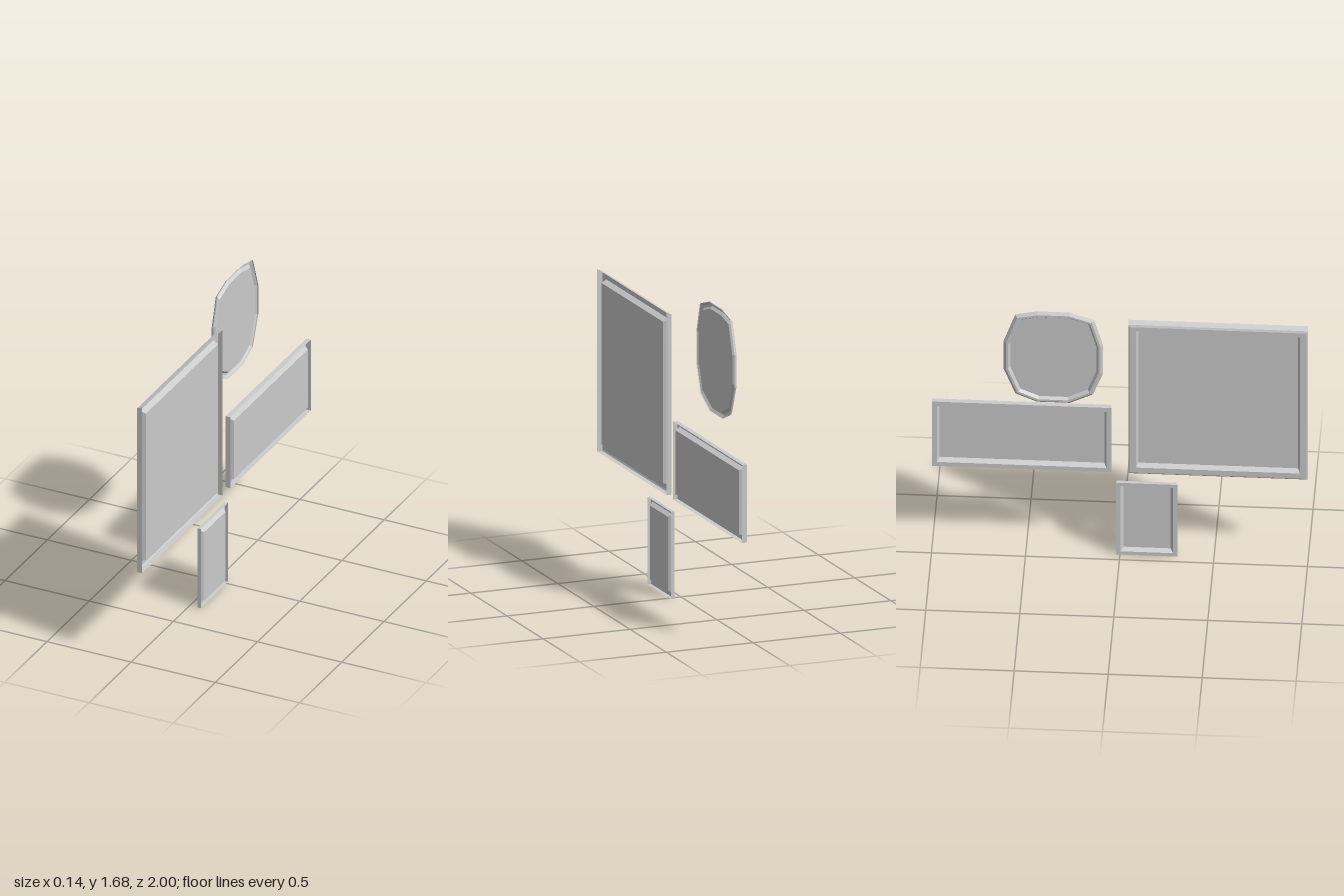
import * as THREE from 'three';

const material = new THREE.MeshStandardMaterial({
  color: 0xcccccc, flatShading: true, side: THREE.DoubleSide,
});

function makeMesh(name, triangles) {
  const geometry = new THREE.BufferGeometry();
  geometry.setAttribute('position', new THREE.Float32BufferAttribute(triangles.flat(), 3));
  geometry.computeVertexNormals();
  const mesh = new THREE.Mesh(geometry, material);
  mesh.name = name;
  return mesh;
}

// Outlines return counterclockwise [z, y] corners for a given inset.
const rectangle = (z0, z1, y0, y1) => (inset, topInset = inset) => [
  [z0 + inset, y0 + inset], [z1 - inset, y0 + inset],
  [z1 - inset, y1 - topInset], [z0 + inset, y1 - topInset],
];

const roundedOutline = (points, cz, cy, rz, ry) => (inset) => points.map(([z, y]) => [
  cz + (z - cz) * (1 - inset / rz), cy + (y - cy) * (1 - inset / ry),
]);

// A moulding lofted through rings [x, inset, topInset], from the open back,
// over the front lip and down into the recess, closed by the picture.
function pictureFrame(name, outline, rings) {
  const group = new THREE.Group();
  group.name = name;
  const loops = rings.map(([x, inset, top]) => outline(inset, top).map(([z, y]) => [x, y, z]));
  const walls = [];
  for (let i = 0; i < loops.length - 1; i++) {
    const p = loops[i], q = loops[i + 1], n = p.length;
    for (let j = 0; j < n; j++) {
      const k = (j + 1) % n;
      walls.push(...p[j], ...p[k], ...q[k], ...p[j], ...q[k], ...q[j]);
    }
  }
  const last = loops[loops.length - 1];
  const panel = [];
  for (let j = 1; j < last.length - 1; j++) panel.push(...last[0], ...last[j], ...last[j + 1]);
  group.add(makeMesh('moulding', walls), makeMesh('picture', panel));
  return group;
}

export function createModel() {
  const model = new THREE.Group();
  model.name = 'wallFrames';

  // Large frame, with a deeper chamfer along the top
  model.add(pictureFrame('largeFrame', rectangle(0.045, 1, 0.555, 1.56), [
    [0.065, 0], [0.036, 0, 0.012], [0.031, 0.008, 0.024],
    [0.031, 0.042, 0.05], [0.04, 0.045, 0.054], [0.062, 0.053, 0.064],
  ]));

  // Wide frame
  model.add(pictureFrame('wideFrame', rectangle(-1, -0.045, 0.555, 0.985), [
    [0.065, 0], [0.037, 0], [0.037, 0.027], [0.067, 0.039],
  ]));

  // Small upright frame
  model.add(pictureFrame('smallFrame', rectangle(-0.02, 0.305, 0, 0.48), [
    [0.065, 0], [0.045, 0], [0.045, 0.022], [0.067, 0.037],
  ]));

  // Twelve-sided rounded frame
  const corners = [
    [-0.26, 1.685], [-0.435, 1.685], [-0.55, 1.66], [-0.613, 1.48],
    [-0.613, 1.3], [-0.55, 1.135], [-0.435, 1.085], [-0.26, 1.085],
    [-0.137, 1.147], [-0.083, 1.29], [-0.083, 1.475], [-0.132, 1.643],
  ];
  model.add(pictureFrame('roundedFrame', roundedOutline(corners, -0.348, 1.385, 0.265, 0.3), [
    [-0.054, 0], [-0.06, 0], [-0.071, 0.013], [-0.071, 0.024], [-0.056, 0.036],
  ]));
  return model;
}
